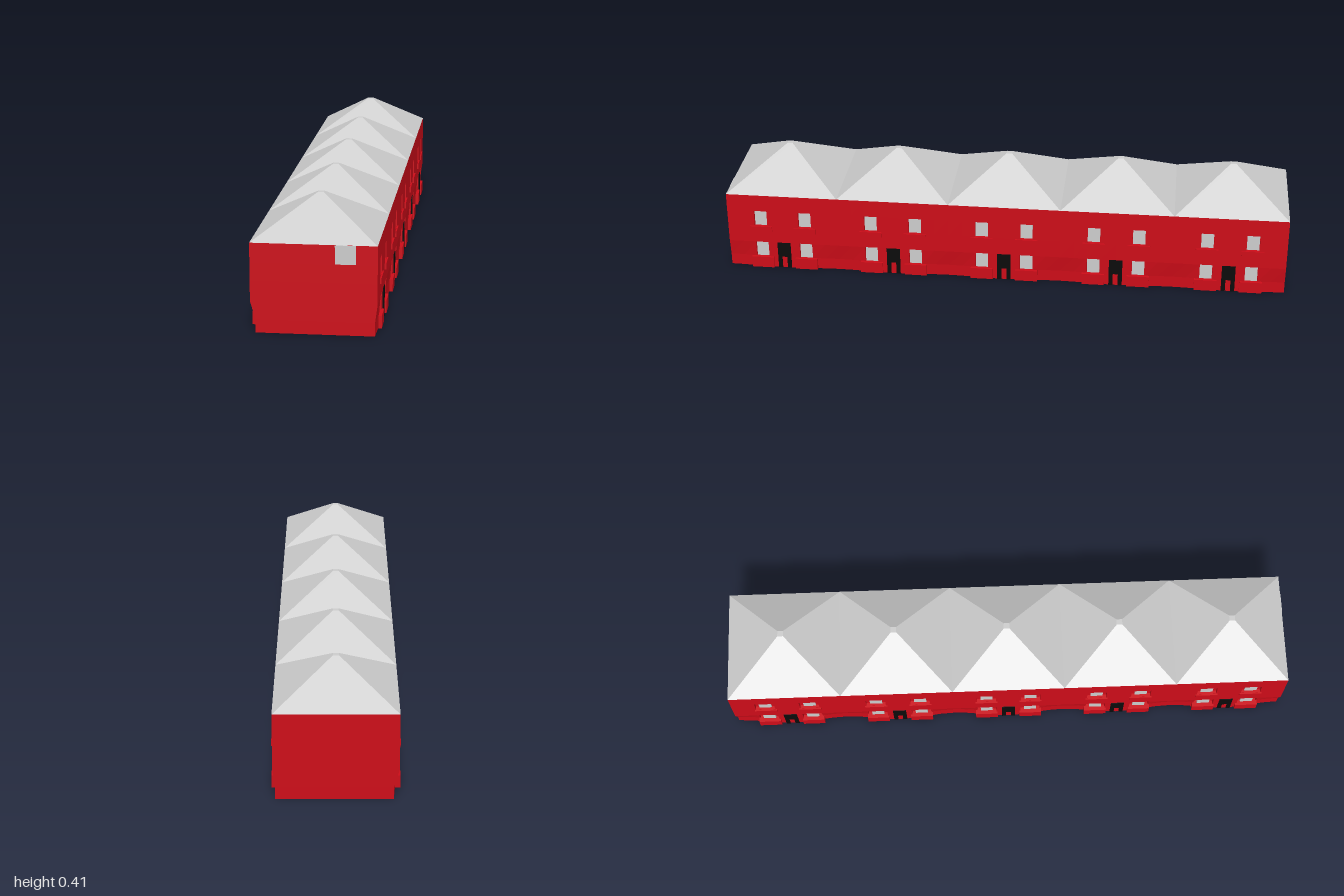
import * as THREE from 'three';

const RED = 0xcc0c18, BLACK = 0x0a0a0a, GREY = 0xcccccc;
const HALF = 0.2, EAVES = 0.291;
const houses = [-0.8, -0.4, 0, 0.4, 0.8];
const rows = [[0.042, 0.102], [0.168, 0.228]];
const levels = [0, 0.042, 0.102, 0.168, 0.228, EAVES];

const material = (color) => new THREE.MeshStandardMaterial({ color, flatShading: true, side: THREE.DoubleSide });

// The foot of each long wall draws in where two houses meet.
function wallX(side, y, z) {
  const depth = side < 0 ? 0.017 : 0.008;
  const taper = THREE.MathUtils.clamp((0.102 - y) / 0.06, 0, 1);
  const wave = (1 + Math.cos(2 * Math.PI * (z + 1) / 0.4)) / 2;
  return side * (HALF - depth * taper * wave);
}

function quadMesh(name, quads, mat) {
  const pos = [];
  for (const [a, b, c, d] of quads) pos.push(...a, ...b, ...c, ...a, ...c, ...d);
  const geo = new THREE.BufferGeometry();
  geo.setAttribute('position', new THREE.Float32BufferAttribute(pos, 3));
  geo.computeVertexNormals();
  const mesh = new THREE.Mesh(geo, mat);
  mesh.name = name;
  return mesh;
}

export function createModel() {
  const model = new THREE.Group();
  model.name = 'terraceOfHouses';
  const red = material(RED), black = material(BLACK), grey = material(GREY);

  const box = (name, mat, sx, sy, sz, x, y, z) => {
    const mesh = new THREE.Mesh(new THREE.BoxGeometry(sx, sy, sz), mat);
    mesh.name = name;
    mesh.position.set(x, y, z);
    model.add(mesh);
  };

  for (const side of [1, -1]) {
    const halfOpen = side > 0 ? 0.023 : 0.035;
    const inset = side * 0.012;
    const at = (y, z) => [wallX(side, y, z), y, z];
    const sunk = (y, z) => [wallX(side, y, z) - inset, y, z];
    const offsets = [-0.2, -0.15, -0.08 - halfOpen, -0.08 + halfOpen, 0, 0.08 - halfOpen, 0.08 + halfOpen, 0.15, 0.2];
    const quads = [];

    for (const c of houses) {
      // Long wall as a grid with sunken window openings
      for (let i = 0; i < offsets.length - 1; i++) {
        const z0 = c + offsets[i], z1 = c + offsets[i + 1];
        for (let j = 0; j < levels.length - 1; j++) {
          const y0 = levels[j], y1 = levels[j + 1];
          const corners = [[y0, z0], [y0, z1], [y1, z1], [y1, z0]];
          const open = (i === 2 || i === 5) && (j === 1 || j === 3);
          const place = open ? sunk : at;
          const face = corners.map(([y, z]) => place(y, z));
          quads.push(side < 0 ? face : face.reverse());
          if (open) corners.forEach((p, k) => {
            const q = corners[(k + 1) % 4];
            quads.push([at(...p), at(...q), sunk(...q), sunk(...p)]);
          });
        }
      }

      // Panes and sills
      for (const dz of [-0.08, 0.08]) {
        const z = c + dz;
        for (const [y0, y1] of rows) {
          box('windowPane', grey, 0.008, y1 - y0, 0.044, side * 0.188, (y0 + y1) / 2, z);
        }
        box('upperSill', red, 0.02, 0.02, 0.08, side * 0.195, 0.157, z);
        box('lowerSill', red, 0.022, 0.042, 0.08, side * 0.195, 0.021, z);
      }

      // Door with a narrow gap at its foot
      for (const dz of [-0.0165, 0.0165]) {
        box('doorSide', black, 0.02, 0.045, 0.015, side * 0.192, 0.0225, c + dz);
      }
      box('doorTop', black, 0.02, 0.057, 0.048, side * 0.192, 0.0735, c);
    }
    model.add(quadMesh(side > 0 ? 'leftWall' : 'rightWall', quads, red));
  }

  // End walls follow the long walls' profile
  for (const z of [-1, 1]) {
    const quads = [];
    for (let j = 0; j < levels.length - 1; j++) {
      const [y0, y1] = [levels[j], levels[j + 1]];
      const face = [[-1, y0], [1, y0], [1, y1], [-1, y1]].map(([s, y]) => [wallX(s, y, z), y, z]);
      quads.push(z > 0 ? face : face.reverse());
    }
    model.add(quadMesh(z > 0 ? 'frontWall' : 'backWall', quads, red));
  }

  // Underside
  const floor = [];
  for (let i = 0; i < 40; i++) {
    const z0 = -1 + i * 0.05, z1 = z0 + 0.05;
    floor.push([[-1, z0], [1, z0], [1, z1], [-1, z1]].map(([s, z]) => [wallX(s, 0, z), 0, z]));
  }
  model.add(quadMesh('floor', floor, red));

  // One blunt pyramid roof per house
  const roofGeo = new THREE.CylinderGeometry(0.01 * Math.SQRT2, HALF * Math.SQRT2, 0.12, 4).rotateY(Math.PI / 4);
  for (const c of houses) {
    const roof = new THREE.Mesh(roofGeo, grey);
    roof.name = 'roof';
    roof.position.set(0, EAVES + 0.06, c);
    model.add(roof);
  }

  // Small panel high on the front wall
  box('frontPanel', grey, 0.066, 0.061, 0.004, 0.1, 0.26, 0.9995);
  return model;
}
